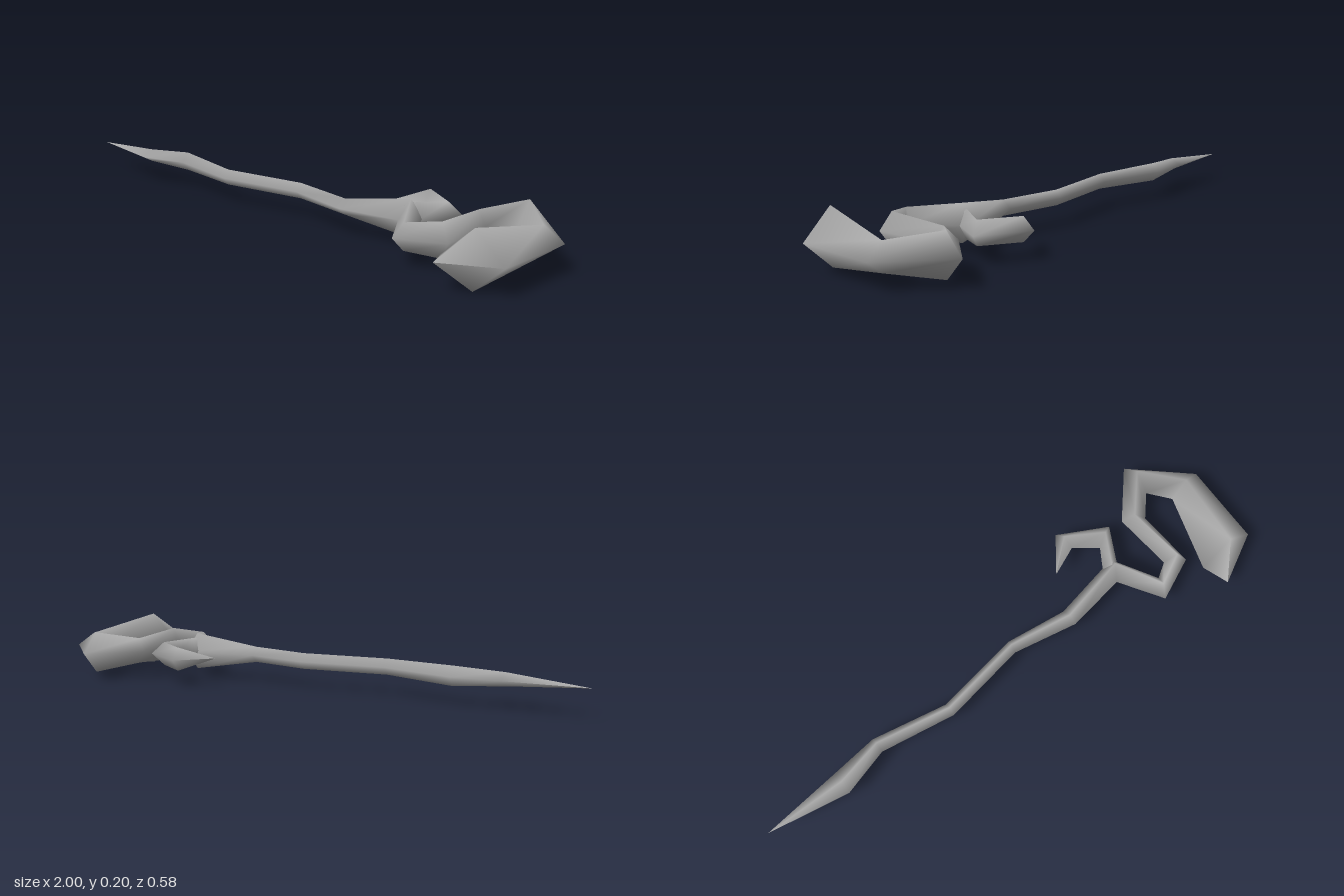
import * as THREE from 'three';

const MID = 0.098; // height of the staff's centre plane

// Four-sided limb through rings of [leftX, leftZ, rightX, rightZ, halfHeight]
function limb(name, rings, material) {
  const pos = [], index = [];
  for (const [lx, lz, rx, rz, h] of rings) {
    const cx = (lx + rx) / 2, cz = (lz + rz) / 2;
    pos.push(lx, MID, lz, cx, MID + h, cz, rx, MID, rz, cx, MID - h, cz);
  }
  for (let i = 0; i < rings.length - 1; i++) {
    for (let j = 0; j < 4; j++) {
      const a = i * 4 + j, b = i * 4 + (j + 1) % 4;
      index.push(a, b, a + 4, b, b + 4, a + 4);
    }
  }
  const g = new THREE.BufferGeometry();
  g.setAttribute('position', new THREE.Float32BufferAttribute(pos, 3));
  g.setIndex(index);
  g.computeVertexNormals();
  const mesh = new THREE.Mesh(g, material);
  mesh.name = name;
  return mesh;
}

export function createModel() {
  const grey = new THREE.MeshStandardMaterial({ color: 0xaaaaaa, side: THREE.DoubleSide });
  grey.name = 'grey wood';

  const group = new THREE.Group();
  group.name = 'gnarledStaff';

  // Pointed, zigzag shaft that winds into the heavy curled crook
  group.add(limb('shaftAndCrook', [
    [-1, 0.035, -1, 0.035, 0],
    [-0.71, 0.004, -0.71, 0.088, 0.023],
    [-0.54, -0.015, -0.54, 0.04, 0.034],
    [-0.27, 0.038, -0.27, 0.085, 0.028],
    [0.04, -0.012, 0.035, 0.034, 0.028],
    [0.265, 0.017, 0.27, 0.08, 0.028],
    [0.525, -0.035, 0.487, 0.045, 0.066],
    [0.615, 0.125, 0.583, 0.2, 0.046],
    [0.67, 0.09, 0.74, 0.13, 0.06],
    [0.655, -0.128, 0.73, -0.085, 0.046],
    [0.8, -0.29, 0.8, -0.162, 0.074],
    [0.997, -0.11, 0.86, -0.085, 0.049],
    [0.983, 0.192, 0.768, 0.192, 0.098],
    [0.8, 0.288, 0.8, 0.288, 0],
  ], grey));

  // Small hooked branch growing from the fork
  group.add(limb('hookedBranch', [
    [0.46, 0.01, 0.52, 0.03, 0.045],
    [0.485, -0.033, 0.535, -0.012, 0.05],
    [0.525, -0.095, 0.605, -0.14, 0.042],
    [0.445, -0.157, 0.43, -0.233, 0.042],
    [0.335, -0.11, 0.335, -0.11, 0],
  ], grey));

  return group;
}
